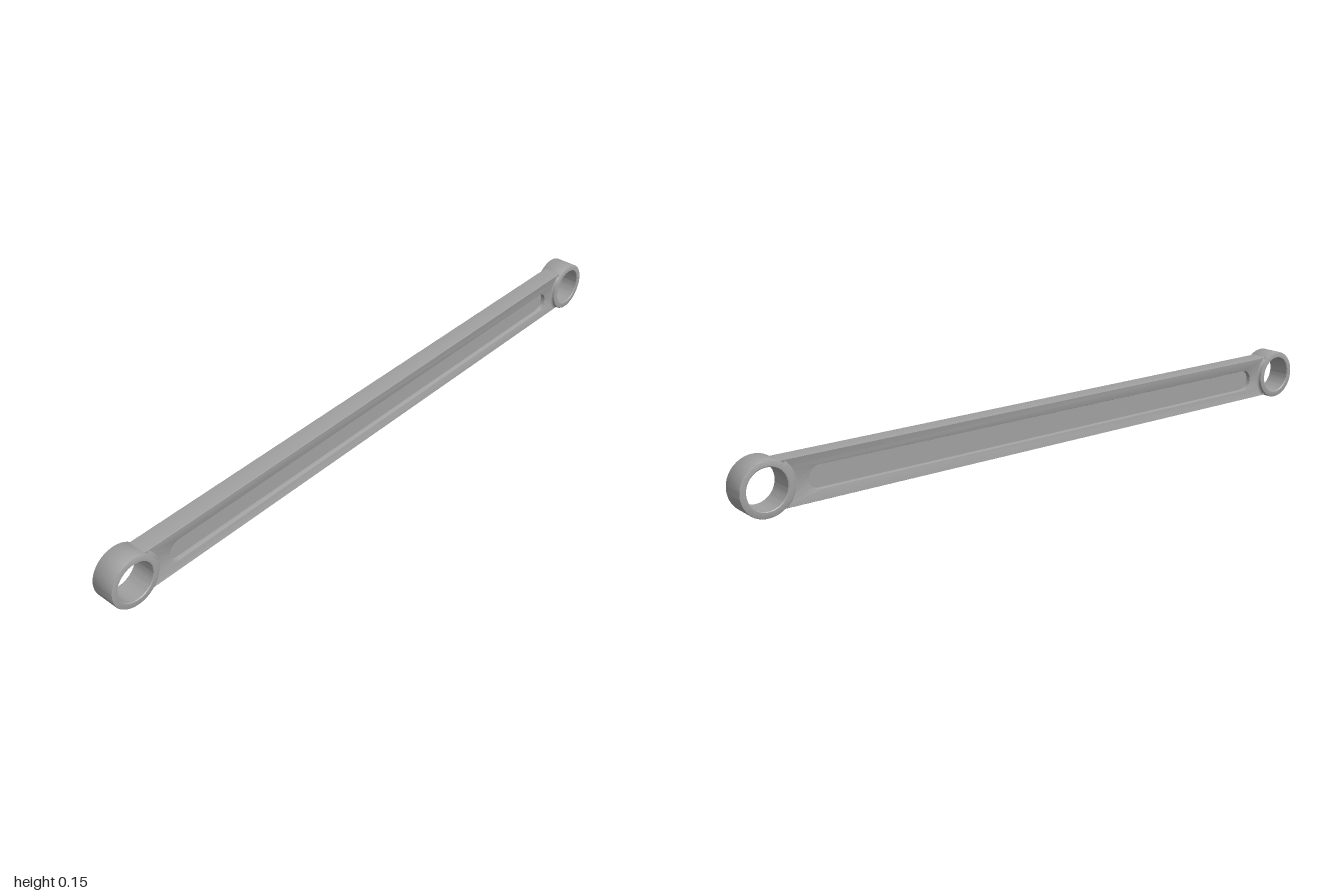
import * as THREE from 'three';
import { toCreasedNormals } from 'three/addons/utils/BufferGeometryUtils.js';

const CENTER_Y = 0.075;   // height of the link axis
const EYE_X = 0.925;      // distance of each eye from the middle
const BAR_Z = 0.028;      // half thickness of the bar
const EYE_Z = 0.037;      // half thickness of the eyes

export function createModel() {
  const model = new THREE.Group();
  model.name = 'connectingLink';
  const steel = new THREE.MeshStandardMaterial({ color: 0xa0a0a0 });
  steel.name = 'grey steel';

  const add = (name, geometry, parent = model) => {
    const mesh = new THREE.Mesh(toCreasedNormals(geometry, 0.6), steel);
    mesh.name = name;
    parent.add(mesh);
    return mesh;
  };

  // Bar outline, with ends hollowed to fit around the eyes
  const half = 0.0625, seat = 0.069;
  const sweep = Math.asin(half / seat);
  const outline = new THREE.Shape();
  outline.absarc(EYE_X, 0, seat, Math.PI + sweep, Math.PI - sweep, true);
  outline.absarc(-EYE_X, 0, seat, sweep, -sweep, true);
  outline.closePath();

  // Long slot with rounded ends
  const slotR = 0.032, slotX = 0.807 - slotR;
  const slot = new THREE.Path();
  slot.absarc(slotX, 0, slotR, Math.PI / 2, -Math.PI / 2, true);
  slot.absarc(-slotX, 0, slotR, -Math.PI / 2, -Math.PI * 1.5, true);
  slot.closePath();
  outline.holes.push(slot);

  const edge = 0.002;
  const bar = new THREE.ExtrudeGeometry(outline, {
    depth: 2 * (BAR_Z - edge), curveSegments: 24, bevelEnabled: true,
    bevelSize: edge, bevelThickness: edge, bevelOffset: -edge, bevelSegments: 2,
  });
  bar.translate(0, CENTER_Y, -(BAR_Z - edge));
  add('bar', bar);

  // Thin web closing the slot, leaving a shallow pocket on both faces
  const web = new THREE.BoxGeometry(1.63, 0.08, 0.028);
  web.translate(0, CENTER_Y, 0);
  add('pocketWeb', web);

  // Ring profile with softened rims
  const R = 0.075, r = 0.056, c = 0.004;
  const ring = [
    [r, -EYE_Z + 0.002], [r + 0.002, -EYE_Z], [R - c, -EYE_Z],
    [R - c * 0.29, -EYE_Z + c * 0.29], [R, -EYE_Z + c],
    [R, EYE_Z - c], [R - c * 0.29, EYE_Z - c * 0.29], [R - c, EYE_Z],
    [r + 0.002, EYE_Z], [r, EYE_Z - 0.002], [r, -EYE_Z + 0.002],
  ].map(([x, y]) => new THREE.Vector2(x, y));

  // Small fillet where the bar face meets the ring
  const fillet = [[0.082, BAR_Z], [0.078, BAR_Z + 0.001], [0.076, BAR_Z + 0.003], [0.0749, BAR_Z + 0.007]]
    .map(([x, y]) => new THREE.Vector2(x, y));

  for (const side of [1, -1]) {
    const eye = new THREE.Group();
    eye.name = side > 0 ? 'leftEye' : 'rightEye';
    eye.position.set(side * EYE_X, CENTER_Y, 0);
    if (side > 0) eye.rotation.y = Math.PI;
    add('eyeRing', new THREE.LatheGeometry(ring, 64).rotateX(Math.PI / 2), eye);
    for (const face of [1, -1]) {
      const g = new THREE.LatheGeometry(fillet, 24, Math.PI / 2 - 0.84, 1.68);
      add('eyeFillet', g.rotateX(face * Math.PI / 2), eye);
    }
    model.add(eye);
  }
  return model;
}
